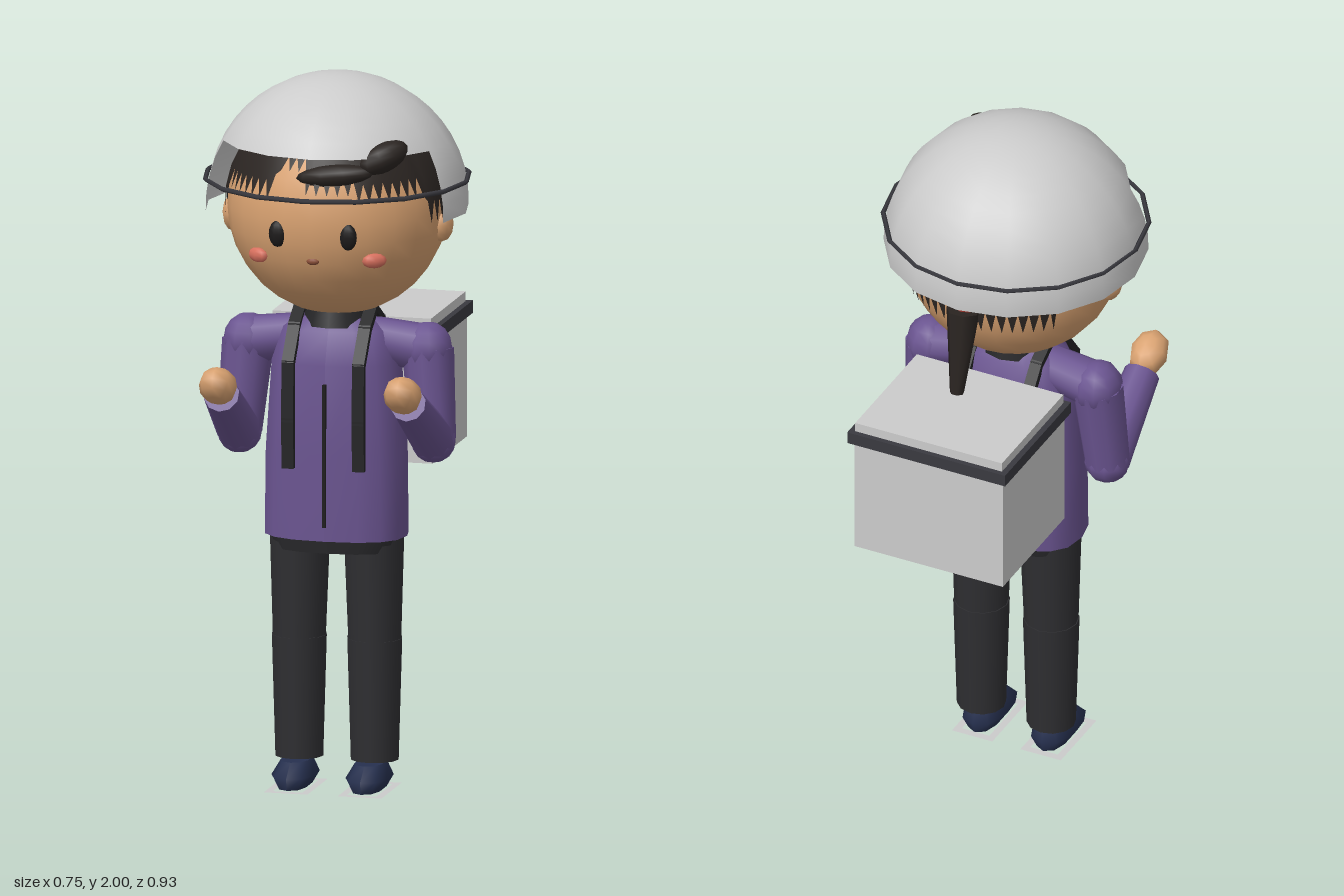
import * as THREE from 'three';

const V = (x, y, z) => new THREE.Vector3(x, y, z);
const mat = (color, extra = {}) => new THREE.MeshStandardMaterial({ color, ...extra });
const rad = THREE.MathUtils.degToRad;

const skin = mat(0xd9a271), purple = mat(0x6a5490), hair = mat(0x2b2522, { side: THREE.DoubleSide });
const pants = mat(0x2e2e31), shoeBlue = mat(0x26304f), dark = mat(0x3a3a40), strapMat = mat(0x242426);
const pink = mat(0xd8705e), black = mat(0x1c1a1a), brown = mat(0x8a4f38), red = mat(0xb03a30);
const grey = mat(0xcccccc), shell = mat(0xcccccc, { side: THREE.DoubleSide });

// Rounded, tapering body built from rows of [y, half width, half depth, z centre], top to bottom
function loft(rows, sides, power = 0.8) {
  const n = rows.length - 1;
  const geo = new THREE.CylinderGeometry(1, 1, 1, sides, n);
  const p = geo.attributes.position;
  const round = (v) => Math.sign(v) * Math.abs(v) ** power;
  for (let i = 0; i < p.count; i++) {
    const [y, rx, rz, cz] = rows[Math.round((0.5 - p.getY(i)) * n)];
    p.setXYZ(i, round(p.getX(i)) * rx, y, round(p.getZ(i)) * rz + cz);
  }
  geo.computeVertexNormals();
  return geo;
}

// Hair cap: every column of a sphere stops at its own hairline height
function hairCap(r, cy) {
  const geo = new THREE.SphereGeometry(r, 64, 8);
  const p = geo.attributes.position, uv = geo.attributes.uv;
  const hairline = (deg) => {
    const a = Math.abs(deg);
    if (deg > -20 && deg < -5) return 1.77;
    if (a < 25) return 1.71;
    if (a < 65) return 1.69;
    return a < 132 ? 1.61 : 1.53;
  };
  for (let i = 0; i < p.count; i++) {
    const deg = ((uv.getX(i) * 360 + 450) % 360) - 180;
    const t = (1 - uv.getY(i)) * Math.acos((hairline(deg) - cy) / r);
    const a = rad(deg);
    p.setXYZ(i, r * Math.sin(t) * Math.sin(a), r * Math.cos(t), r * Math.sin(t) * Math.cos(a));
  }
  geo.computeVertexNormals();
  return geo;
}

export function createModel() {
  const model = new THREE.Group();
  const add = (name, geo, material, x = 0, y = 0, z = 0) => {
    const m = new THREE.Mesh(geo, material);
    m.name = name;
    m.position.set(x, y, z);
    model.add(m);
    return m;
  };
  const ball = (name, material, [x, y, z], [rx, ry, rz], w = 10, h = 8) => {
    const m = add(name, new THREE.SphereGeometry(1, w, h), material, x, y, z);
    m.scale.set(rx, ry, rz);
    return m;
  };
  const box = (name, material, x0, x1, y0, y1, z0, z1) =>
    add(name, new THREE.BoxGeometry(x1 - x0, y1 - y0, z1 - z0), material,
      (x0 + x1) / 2, (y0 + y1) / 2, (z0 + z1) / 2);
  const limb = (name, material, a, b, ra, rb, sides = 10) => {
    const d = b.clone().sub(a);
    const m = add(name, new THREE.CylinderGeometry(rb, ra, d.length(), sides), material);
    m.position.copy(a).addScaledVector(d, 0.5);
    m.quaternion.setFromUnitVectors(V(0, 1, 0), d.normalize());
    return m;
  };

  // Head and face
  ball('head', skin, [0, 1.63, 0.08], [0.305, 0.305, 0.3], 24, 16);
  ball('mouth', brown, [0, 1.522, 0.358], [0.018, 0.01, 0.008]);
  add('hairCap', hairCap(0.312, 1.63), hair, 0, 1.63, 0.08);
  ball('fringeSweep', hair, [0.06, 1.765, 0.35], [0.11, 0.03, 0.035]).rotation.z = 0.12;
  ball('fringeCurl', hair, [0.19, 1.815, 0.315], [0.075, 0.04, 0.04]).rotation.set(0, 0.6, 0.4);
  limb('ponytail', hair, V(0, 1.35, -0.275), V(0, 1.6, -0.235), 0.02, 0.048, 7);
  ball('hairTie', red, [0, 1.61, -0.22], [0.035, 0.025, 0.035], 8, 6);

  // Helmet: full dome, lower band open at the face, thin rim ring
  add('helmetDome', new THREE.SphereGeometry(0.365, 16, 8, 0, Math.PI * 2, 0, rad(60)), shell, 0, 1.635, 0.09);
  add('helmetBand', new THREE.SphereGeometry(0.365, 10, 4, rad(157.5), rad(225), rad(60), rad(32)),
    shell, 0, 1.635, 0.09);
  const ring = add('helmetRing', new THREE.TorusGeometry(0.366, 0.007, 4, 16), dark, 0, 1.71, 0.09);
  ring.rotation.x = Math.PI / 2;

  // Jacket, hips and collar
  add('jacket', loft([[1.33, 0.09, 0.06, 0.09], [1.29, 0.15, 0.1, 0.09], [1.2, 0.18, 0.13, 0.095],
    [0.95, 0.197, 0.137, 0.095], [0.71, 0.2, 0.137, 0.095]], 16), purple);
  add('hips', loft([[0.73, 0.19, 0.125, 0.095], [0.67, 0.17, 0.105, 0.095]], 16), pants);
  add('collar', new THREE.CylinderGeometry(0.085, 0.1, 0.05, 12), strapMat, 0, 1.325, 0.09);
  box('zipper', black, -0.005, 0.005, 0.75, 1.15, 0.22, 0.237);

  // Delivery box on the back
  box('boxBody', grey, -0.228, 0.228, 0.88, 1.23, -0.45, -0.07);
  box('boxRim', dark, -0.242, 0.242, 1.225, 1.26, -0.465, -0.058);
  box('boxLid', grey, -0.225, 0.225, 1.26, 1.287, -0.45, -0.07);

  for (const s of [1, -1]) {
    const side = s > 0 ? 'left' : 'right';
    ball(side + 'Ear', skin, [s * 0.295, 1.59, 0.08], [0.033, 0.052, 0.047], 8, 6);
    ball(side + 'Eye', black, [s * 0.1, 1.595, 0.358], [0.025, 0.037, 0.015]);
    const cheek = ball(side + 'Cheek', pink, [s * 0.165, 1.525, 0.32], [0.035, 0.021, 0.015], 8, 6);
    cheek.rotation.y = s * 0.5;

    // Bent arm with a raised hand
    const shoulder = V(s * 0.255, 1.235, 0.08), elbow = V(s * 0.275, 0.985, 0.1);
    const wrist = V(s * 0.265, 1.13, 0.335);
    ball(side + 'Shoulder', purple, shoulder.toArray(), [0.07, 0.075, 0.075]);
    limb(side + 'ShoulderYoke', purple, V(s * 0.1, 1.26, 0.085), shoulder, 0.06, 0.068);
    limb(side + 'UpperArm', purple, elbow, shoulder, 0.063, 0.072);
    ball(side + 'Elbow', purple, elbow.toArray(), [0.064, 0.064, 0.064]);
    limb(side + 'Forearm', purple, elbow, wrist, 0.063, 0.05);
    const hand = ball(side + 'Hand', skin, [s * 0.262, 1.165, 0.385], [0.054, 0.05, 0.07], 8, 6);
    hand.rotation.x = -0.5;

    // Shoulder strap, a flat band swept over the shoulder
    const path = [[0.24, 0.92], [0.243, 1.05], [0.24, 1.21], [0.17, 1.3], [0.1, 1.345], [0.02, 1.3], [-0.06, 1.2]];
    for (let i = 0; i < path.length - 1; i++) {
      const [za, ya] = path[i], [zb, yb] = path[i + 1];
      const piece = add(side + 'Strap', new THREE.BoxGeometry(0.034, Math.hypot(zb - za, yb - ya) + 0.012, 0.02),
        strapMat, s * 0.1, (ya + yb) / 2, (za + zb) / 2);
      piece.rotation.x = Math.atan2(zb - za, yb - ya);
    }

    // Leg in two tapering sections
    limb(side + 'Thigh', pants, V(s * 0.107, 0.41, 0.092), V(s * 0.105, 0.72, 0.092), 0.075, 0.086, 12);
    ball(side + 'Knee', pants, [s * 0.107, 0.415, 0.092], [0.077, 0.035, 0.077], 12, 6);
    limb(side + 'Shin', pants, V(s * 0.107, 0.08, 0.092), V(s * 0.107, 0.42, 0.092), 0.068, 0.078, 12);

    // Shoe with a flat sole frame
    const shoe = loft([[0.078, 0.04, 0.075, 0.125], [0.04, 0.06, 0.107, 0.14], [0.006, 0.04, 0.095, 0.14]], 10);
    add(side + 'Shoe', shoe, shoeBlue, s * 0.105);
    const rect = (P, w, d) => new P([[-w, -d], [w, -d], [w, d], [-w, d]].map(([x, y]) => new THREE.Vector2(x, y)));
    const sole = rect(THREE.Shape, 0.062, 0.11);
    sole.holes.push(rect(THREE.Path, 0.042, 0.088));
    const frame = add(side + 'Sole', new THREE.ShapeGeometry(sole), shell, s * 0.105, 0.002, 0.14);
    frame.rotation.x = -Math.PI / 2;
  }
  return model;
}
